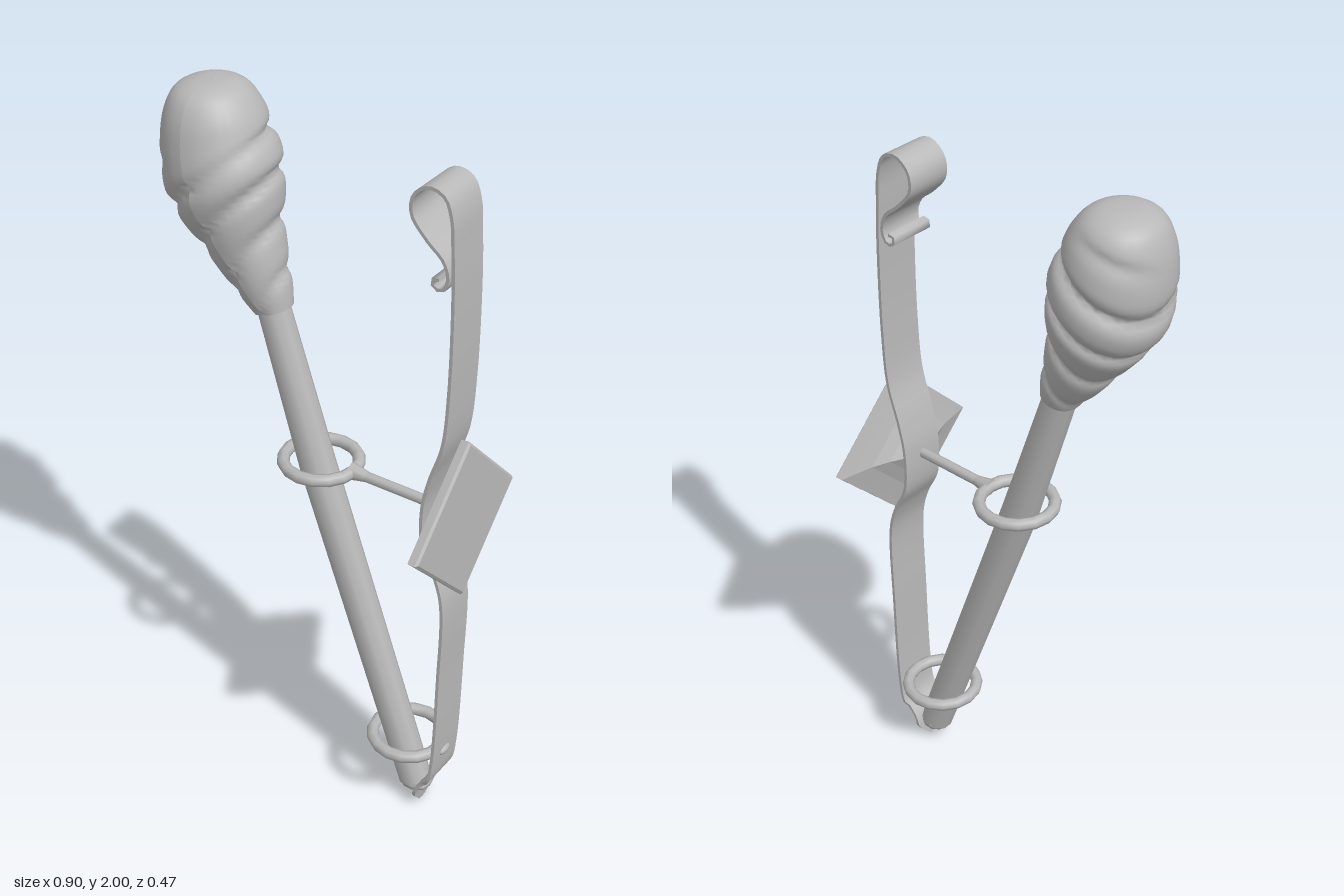
import * as THREE from 'three';

const grey = new THREE.MeshStandardMaterial({ color: 0xb8b8b8 });
grey.name = 'plain grey';

const V = (x, y, z = 0) => new THREE.Vector3(x, y, z);

function add(group, name, geometry) {
  const mesh = new THREE.Mesh(geometry, grey);
  mesh.name = name;
  group.add(mesh);
  return mesh;
}

// Round bar from a to b
function bar(group, name, a, b, ra, rb, sides = 10) {
  const dir = b.clone().sub(a);
  const mesh = add(group, name, new THREE.CylinderGeometry(rb, ra, dir.length(), sides, 1));
  mesh.position.copy(a).add(b).multiplyScalar(0.5);
  mesh.quaternion.setFromUnitVectors(V(0, 1, 0), dir.normalize());
  return mesh;
}

// Cloth head: a leaning lathe with wrapped folds pressed into it
function headGeometry() {
  // x = centre, y = height, z = radius
  const spine = new THREE.CatmullRomCurve3([
    V(-0.155, 1.42, 0.048), V(-0.185, 1.48, 0.068), V(-0.245, 1.6, 0.1), V(-0.285, 1.7, 0.132),
    V(-0.3, 1.76, 0.142), V(-0.322, 1.86, 0.132), V(-0.328, 1.93, 0.115), V(-0.33, 1.975, 0.088),
    V(-0.325, 1.995, 0.05), V(-0.32, 2.0, 0.001),
  ]);
  const rows = spine.getSpacedPoints(56);
  const geo = new THREE.LatheGeometry(rows.map((p) => new THREE.Vector2(p.z, p.y)), 32);
  const pos = geo.attributes.position;
  const perRing = rows.length;
  for (let i = 0; i < pos.count; i++) {
    const row = rows[i % perRing];
    const angle = (Math.floor(i / perRing) / 32) * Math.PI * 2;
    const t = (row.y - 1.42) / 0.58;
    const phase = 5 * t - angle / (Math.PI * 2) - 0.5 * Math.sin(angle);
    // The folds fade out into the smooth crown, lower on the front
    const end = 0.72 - 0.12 * Math.cos(angle);
    const fade = 1 - THREE.MathUtils.smoothstep(t, end - 0.03, end + 0.12);
    const fold = Math.pow(1 - Math.abs(Math.sin(Math.PI * phase)), 2);
    const r = row.z * (1.03 - 0.17 * fold * fade);
    const x = r * Math.sin(angle);
    const lean = 0.3 * (1 - THREE.MathUtils.smoothstep(t, 0.55, 1));
    pos.setXYZ(i, row.x + x, row.y + lean * x, r * Math.cos(angle) * 1.06 - 0.015);
  }
  geo.computeVertexNormals();
  return geo;
}

// Flat strap: a long thin box bent along a path
function strapGeometry() {
  const path = new THREE.CatmullRomCurve3([
    V(0.335, 0.005), V(0.35, 0.08), V(0.388, 0.13), V(0.4, 0.2), V(0.409, 0.5), V(0.408, 0.76),
    V(0.385, 0.84), V(0.347, 0.92), V(0.342, 1.04), V(0.36, 1.13), V(0.393, 1.24), V(0.405, 1.4),
    V(0.405, 1.66), V(0.4, 1.77), V(0.392, 1.86), V(0.372, 1.907), V(0.33, 1.92), V(0.29, 1.89),
    V(0.286, 1.84), V(0.33, 1.785), V(0.375, 1.745), V(0.389, 1.7), V(0.374, 1.669),
    V(0.35, 1.672), V(0.35, 1.693), V(0.366, 1.695),
  ], false, 'centripetal');
  const steps = 140;
  const geo = new THREE.BoxGeometry(0.009, 1, 1, 1, steps, 1);
  const pos = geo.attributes.position;
  for (let i = 0; i < pos.count; i++) {
    const u = THREE.MathUtils.clamp(pos.getY(i) + 0.5, 0, 1);
    const p = path.getPointAt(u);
    const d = path.getTangentAt(u);
    const off = pos.getX(i);
    const tip = p.y < 0.05 ? 0.15 + 14 * p.y : 0.85;
    const width = 0.126 * (p.y < 0.12 ? Math.min(tip, 0.85) : 1);
    pos.setXYZ(i, p.x + d.y * off, p.y - d.x * off, pos.getZ(i) * width - 0.009);
  }
  geo.computeVertexNormals();
  return geo;
}

export function createModel() {
  const model = new THREE.Group();
  model.name = 'wallTorch';

  // Torch
  const torch = new THREE.Group();
  torch.name = 'torch';
  model.add(torch);
  add(torch, 'clothHead', headGeometry());
  bar(torch, 'lowerShaft', V(0.315, 0.07, -0.008), V(-0.02, 1.0, -0.012), 0.046, 0.05);
  bar(torch, 'upperShaft', V(-0.018, 0.994, -0.012), V(-0.175, 1.48, -0.015), 0.05, 0.043);
  const end = add(torch, 'shaftEnd', new THREE.SphereGeometry(0.046, 10, 6));
  end.position.set(0.315, 0.07, -0.008);
  end.scale.y = 0.75;

  // Wall bracket
  const bracket = new THREE.Group();
  bracket.name = 'bracket';
  model.add(bracket);
  add(bracket, 'strap', strapGeometry());

  // Rings that hold the shaft
  [['upperRing', -0.004, 1.02], ['lowerRing', 0.29, 0.22]].forEach(([name, x, y]) => {
    const ring = add(bracket, name, new THREE.TorusGeometry(0.1, 0.017, 8, 16));
    ring.rotation.x = Math.PI / 2;
    ring.position.set(x, y, -0.006);
  });
  bar(bracket, 'armFlare', V(0.09, 1.02, -0.006), V(0.14, 1.02, -0.006), 0.024, 0.014, 8);
  bar(bracket, 'arm', V(0.13, 1.02, -0.006), V(0.35, 1.018, -0.006), 0.014, 0.014, 8);

  // Diamond plate with a hollow-sided raised back
  const profile = [[0.001, 0.352], [0.05, 0.36], [0.09, 0.379], [0.14, 0.397], [0.2, 0.409],
    [0.234, 0.415], [0.236, 0.436], [0.226, 0.442], [0, 0.442]];
  const plateGeo = new THREE.LatheGeometry(profile.map(([r, h]) => new THREE.Vector2(r, h)), 4)
    .rotateZ(-Math.PI / 2).toNonIndexed();
  plateGeo.computeVertexNormals();
  add(bracket, 'diamondPlate', plateGeo).position.y = 1.01;

  // Rivets on the strap
  [[0.402, 0.22, 0.014], [0.348, 0.07, 0.02]].forEach(([x, y, r]) => {
    const rivet = add(bracket, 'rivet', new THREE.SphereGeometry(r, 8, 6));
    rivet.position.set(x, y, -0.006);
    rivet.scale.z = 2;
  });

  return model;
}
